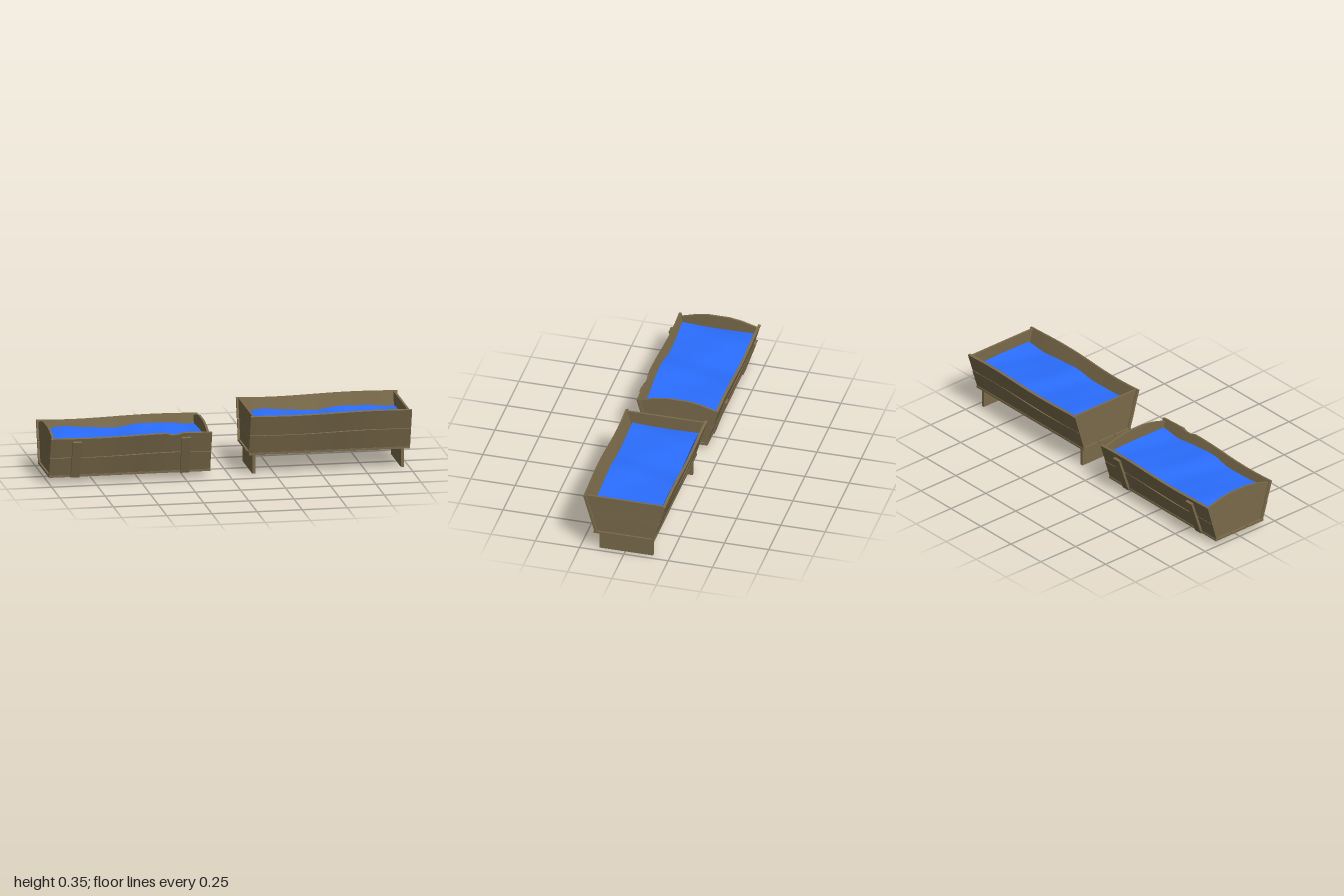
import * as THREE from 'three';

const wood = new THREE.MeshStandardMaterial({ color: 0x7a6a4a, flatShading: true });
const water = new THREE.MeshStandardMaterial({ color: 0x2a6eff });

const LENGTH = 0.893, HALF = LENGTH / 2;
const LEAN = 0.315; // how far the walls lean out per unit of height

function add(parent, name, geometry, material, x = 0, y = 0, z = 0) {
  const mesh = new THREE.Mesh(geometry, material);
  mesh.name = name;
  mesh.position.set(x, y, z);
  parent.add(mesh);
  return mesh;
}

// Move every vertex of a geometry by a rule
function warp(geometry, rule) {
  const p = geometry.attributes.position, v = new THREE.Vector3();
  for (let i = 0; i < p.count; i++) {
    rule(v.fromBufferAttribute(p, i));
    p.setXYZ(i, v.x, v.y, v.z);
  }
  geometry.computeVertexNormals();
  return geometry;
}

// Gentle warping of the hand-cut plank edges along the length
const edgeWave = x => -0.005 * Math.sin((x / LENGTH + 0.5) * Math.PI * 2);

// Leaning long plank between heights y0 and y1; side is +1 front, -1 back
function sidePlank(parent, name, side, y0, y1, offset, waveBottom, notch) {
  const geo = warp(new THREE.BoxGeometry(LENGTH, y1 - y0, 0.014, 28, 1, 1), v => {
    const top = v.y > 0, outer = v.z * side > 0;
    const y = (top ? y1 : y0) + (top || waveBottom ? edgeWave(v.x) : 0)
      - (top && notch && Math.abs(v.x - 0.24) < 0.017 ? 0.01 : 0);
    const bow = top ? 0.003 * Math.sin(v.x * 9 + side) : 0;
    v.z += side * (0.157 + LEAN * y + offset) + bow;
    v.y = y + (outer ? -0.002 : 0.002);
  });
  add(parent, name, geo, wood);
}

// Flat end board cut to the slope of the walls, with an optional arched top
function endBoard(parent, name, x, y0, y1, arch) {
  const w = y => 0.153 + LEAN * y;
  const pts = [[-w(y0), y0], [w(y0), y0], [w(y1), y1]];
  if (arch) pts.push([0.13, y1 + arch * 0.7], [0.06, y1 + arch], [-0.06, y1 + arch], [-0.13, y1 + arch * 0.7]);
  pts.push([-w(y1), y1]);
  const shape = new THREE.Shape(pts.map(p => new THREE.Vector2(...p)));
  const geo = new THREE.ExtrudeGeometry(shape, { depth: 0.012, bevelEnabled: false });
  geo.translate(0, 0, -0.006);
  geo.rotateY(Math.PI / 2);
  add(parent, name, geo, wood, x);
}

// Trough body; its local y = 0 is the upper face of the floor
function trough(name, waterLevel, waterHalfWidth, arch, endTop, notch) {
  const g = new THREE.Group();
  g.name = name;

  // Floor boards
  for (let i = -1; i <= 1; i++) {
    add(g, 'floorBoard', new THREE.BoxGeometry(LENGTH, 0.012, 0.112), wood, 0, -0.006, i * 0.115);
  }

  // Two planks per long side
  for (const side of [1, -1]) {
    sidePlank(g, 'lowerSidePlank', side, 0.001, 0.106, 0.003, false, false);
    sidePlank(g, 'upperSidePlank', side, 0.109, 0.219, 0, true, notch && side > 0);
  }

  // Two boards per end
  for (const s of [1, -1]) {
    endBoard(g, 'lowerEndBoard', s * (HALF - 0.017), 0, 0.1075, 0);
    endBoard(g, 'upperEndBoard', s * (HALF - 0.017), 0.108, endTop, arch);
  }

  // Water filling the trough, with a rippled top
  const geo = warp(new THREE.BoxGeometry(LENGTH - 0.04, 1, 1, 36, 1, 14), v => {
    const top = v.y > 0;
    v.z *= 2 * (top ? waterHalfWidth : 0.147);
    v.y = top ? waterLevel + 0.006 * Math.sin(v.x * 15 + v.z * 4)
      + 0.004 * Math.sin(v.z * 11 - v.x * 9) + 0.002 * Math.sin(v.x * 31 + v.z * 7) : 0.002;
  });
  add(g, 'water', geo, water);
  return g;
}

export function createModel() {
  const model = new THREE.Group();
  model.name = 'waterTroughs';

  // Low trough with arched ends and outer battens
  const low = trough('lowTrough', 0.172, 0.207, 0.037, 0.208, true);
  low.position.set(-1 + HALF, 0.045, 0);
  for (const side of [1, -1]) {
    for (const x of [-0.303, 0.302]) {
      const batten = add(low, 'batten', new THREE.BoxGeometry(0.048, 0.222, 0.014), wood,
        x, 0.093, side * (0.175 + LEAN * 0.093));
      batten.rotation.x = side * Math.atan(LEAN + 0.02);
    }
  }
  model.add(low);

  // Raised trough standing on two board legs
  const raised = trough('raisedTrough', 0.148, 0.187, 0, 0.218, false);
  raised.position.set(1 - HALF, 0.122, 0);
  model.add(raised);
  for (const x of [0.139, 0.963]) {
    add(model, 'leg', new THREE.BoxGeometry(0.017, 0.112, 0.302), wood, x, 0.056, -0.006);
  }
  return model;
}
